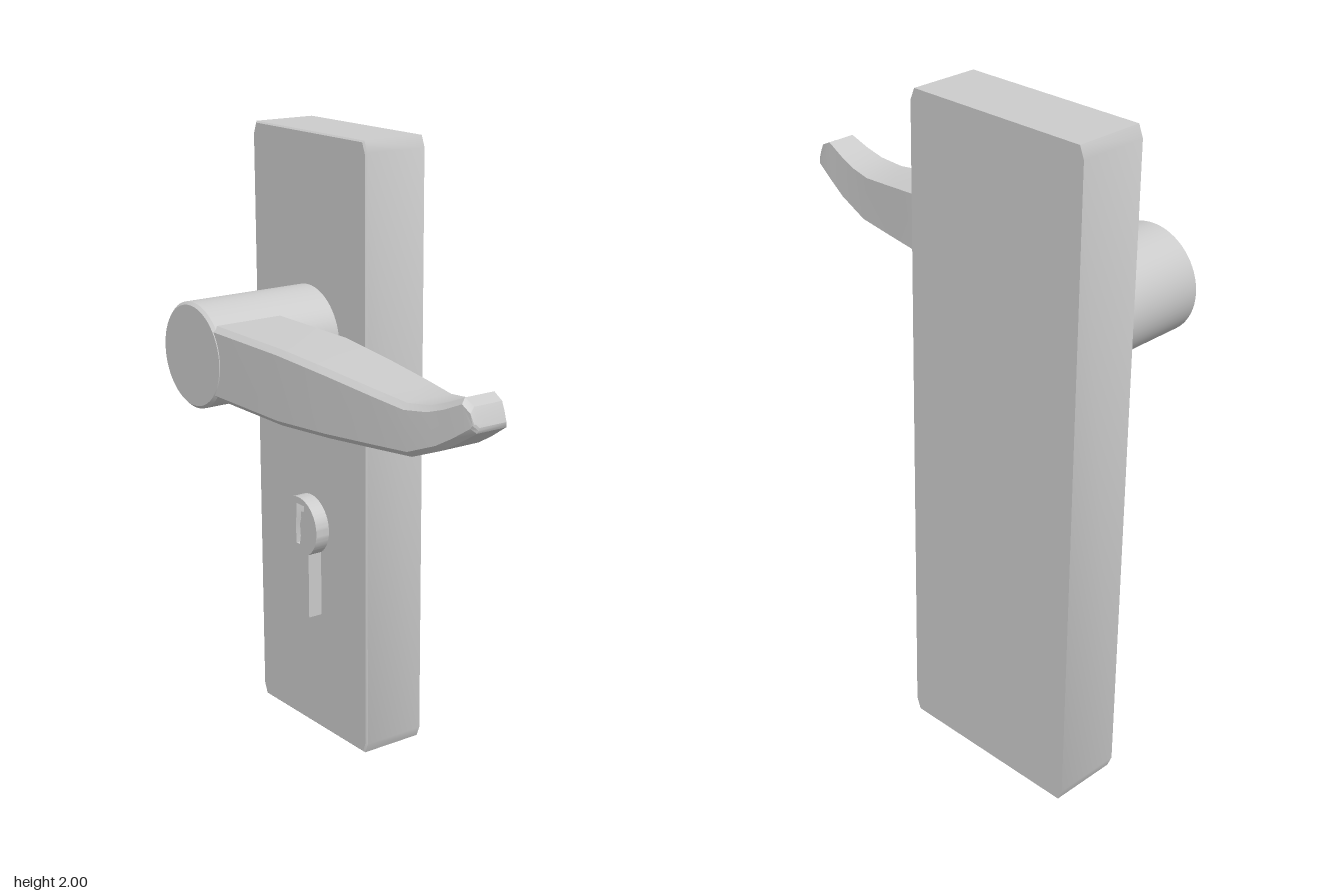
import * as THREE from 'three';
import { toCreasedNormals } from 'three/addons/utils/BufferGeometryUtils.js';

const material = new THREE.MeshStandardMaterial({ color: 0xcccccc });

function part(name, geometry, crease = 0.5) {
  const mesh = new THREE.Mesh(toCreasedNormals(geometry, crease), material);
  mesh.name = name;
  return mesh;
}

// Skin a row of equal-length rings (counter-clockwise seen from the last one) and cap both ends
function loft(rings) {
  const pos = [];
  const tri = (...points) => points.forEach((p) => pos.push(...p));
  const n = rings[0].length;
  for (let i = 0; i < rings.length - 1; i++) {
    for (let j = 0; j < n; j++) {
      const k = (j + 1) % n;
      tri(rings[i][j], rings[i][k], rings[i + 1][k]);
      tri(rings[i][j], rings[i + 1][k], rings[i + 1][j]);
    }
  }
  const first = rings[0], last = rings[rings.length - 1];
  for (let j = 1; j < n - 1; j++) {
    tri(first[0], first[j + 1], first[j]);
    tri(last[0], last[j], last[j + 1]);
  }
  const geometry = new THREE.BufferGeometry();
  geometry.setAttribute('position', new THREE.Float32BufferAttribute(pos, 3));
  return geometry;
}

// Rectangle outline with cut corners at depth z
function plateRing(z, inset) {
  const w = 0.303 - inset, h = 1 - inset, cx = 0.014, cy = 0.035;
  return [
    [w, -h + cy], [w, h - cy], [w - cx, h], [-w + cx, h],
    [-w, h - cy], [-w, -h + cy], [-w + cx, -h], [w - cx, -h],
  ].map(([x, y]) => [x - 0.478, y + 1, z]);
}

// Lever section: top point, bottom point, back and front depth, chamfered front edges
function leverRing([xt, yt, xb, yb, z0, z1]) {
  const c = 0.016;
  const at = (t, z) => [xb + (xt - xb) * t, yb + (yt - yb) * t, z];
  const s = c / Math.hypot(xt - xb, yt - yb);
  return [at(0, z0), at(1, z0), at(1, z1 - c), at(1 - s, z1), at(s, z1), at(0, z1 - c)];
}

export function createModel() {
  const group = new THREE.Group();
  group.name = 'doorHandle';

  // Back plate with a fine bevel around the front face
  group.add(part('backPlate', loft([plateRing(-0.33, 0), plateRing(-0.115, 0), plateRing(-0.11, 0.005)])));

  // Round neck carrying the lever
  const profile = [[0.165, -0.115], [0.165, 0.316], [0.156, 0.325], [0, 0.325]];
  const neck = part('neck', new THREE.LatheGeometry(profile.map((p) => new THREE.Vector2(...p)), 64));
  neck.rotation.x = Math.PI / 2;
  neck.position.set(-0.48, 1.355, 0);
  group.add(neck);

  // Tapered lever with an upturned tip
  const sections = [
    [-0.40, 1.468, -0.40, 1.24, 0.08, 0.323],
    [-0.02, 1.466, -0.02, 1.24, 0.08, 0.323],
    [0.20, 1.452, 0.20, 1.253, 0.095, 0.312],
    [0.40, 1.435, 0.40, 1.269, 0.11, 0.298],
    [0.52, 1.424, 0.54, 1.28, 0.122, 0.286],
    [0.60, 1.434, 0.65, 1.322, 0.132, 0.275],
    [0.66, 1.453, 0.71, 1.355, 0.14, 0.268],
    [0.725, 1.481, 0.775, 1.396, 0.147, 0.261],
    [0.76, 1.464, 0.779, 1.404, 0.15, 0.259],
    [0.772, 1.438, 0.78, 1.412, 0.151, 0.257],
  ];
  group.add(part('lever', loft(sections.map(leverRing)), 0.4));

  // Lock cylinder: a round head above a narrower stem with a bowed foot
  const half = 0.055, r = 0.101;
  const a = Math.acos(half / r);
  const lock = new THREE.Shape();
  lock.moveTo(half, -0.305);
  lock.lineTo(half, -r * Math.sin(a));
  lock.absarc(0, 0, r, -a, Math.PI + a, false);
  lock.lineTo(-half, -0.305);
  lock.quadraticCurveTo(0, -0.325, half, -0.305);

  // Stepped keyway
  const keyway = [
    [-0.013, -0.06], [0.006, -0.06], [0.012, -0.03], [0.008, 0.01], [0.016, 0.035],
    [0.014, 0.055], [0.032, 0.06], [0.032, 0.078], [-0.011, 0.078], [-0.011, 0.04], [-0.016, 0.01],
  ];
  lock.holes.push(new THREE.Path(keyway.map((p) => new THREE.Vector2(...p))));
  const cylinder = part('lockCylinder',
    new THREE.ExtrudeGeometry(lock, { depth: 0.055, bevelEnabled: false, curveSegments: 40 }));
  cylinder.position.set(-0.48, 0.72, -0.115);
  group.add(cylinder);

  return group;
}
